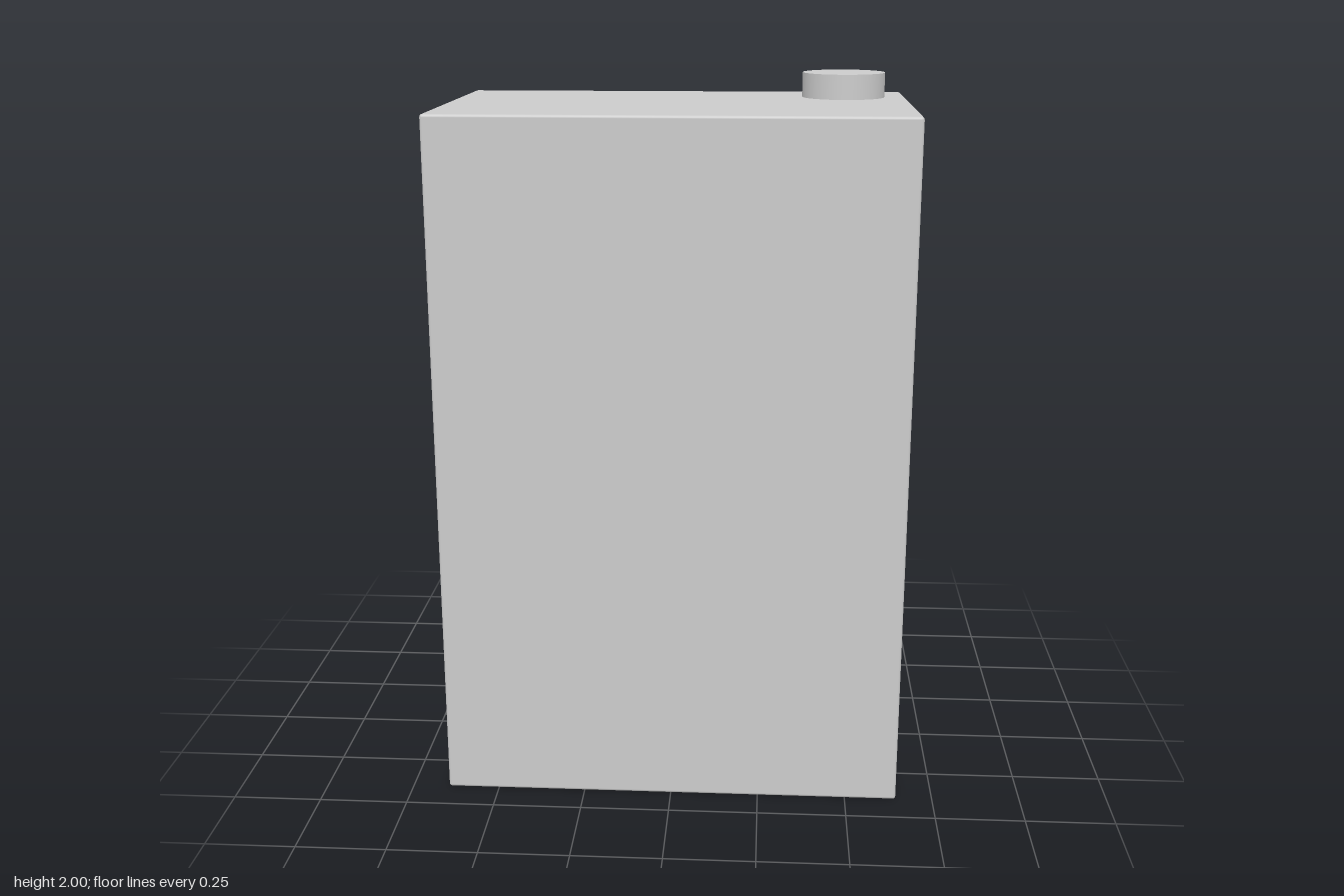
import * as THREE from 'three';
import { RoundedBoxGeometry } from 'three/addons/geometries/RoundedBoxGeometry.js';

export function createModel() {
  const group = new THREE.Group();
  const material = new THREE.MeshStandardMaterial({ color: 0xcccccc });

  const add = (name, geometry, x, y, z) => {
    const mesh = new THREE.Mesh(geometry, material);
    mesh.name = name;
    mesh.position.set(x, y, z);
    group.add(mesh);
  };

  // Tall container body with finely softened edges
  const height = 1.93;
  add('body', new RoundedBoxGeometry(1.292, height, 0.808, 2, 0.008), 0, height / 2, 0);

  // Round screw cap near the back left corner, seated slightly into the top
  const capBottom = height - 0.01;
  const capHeight = 2 - capBottom;
  add('cap', new THREE.CylinderGeometry(0.119, 0.119, capHeight, 32), 0.466, capBottom + capHeight / 2, -0.216);

  return group;
}
